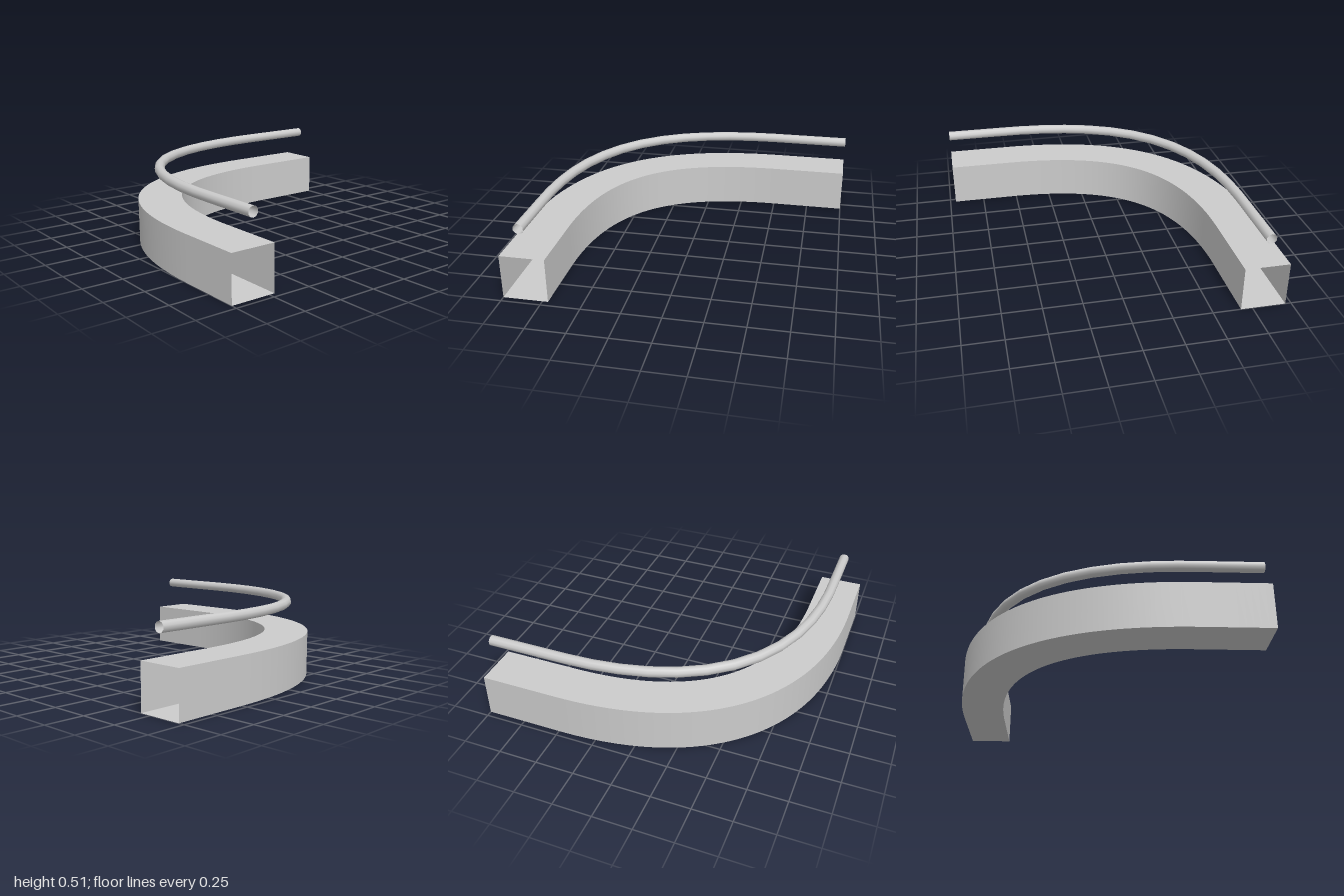
import * as THREE from 'three';
import { ParametricGeometry } from 'three/addons/geometries/ParametricGeometry.js';

const HALF_WIDTH = 0.143, HEIGHT = 0.288, RAIL_Y = 0.482, RAIL_RADIUS = 0.033;

// Centre line: straight, quadratic bend, straight
function centreLine(y) {
  const p = (x, z) => new THREE.Vector3(x, y, z);
  const a = p(-0.82, -1), b = p(-0.82, -0.495), corner = p(-0.82, 0.857);
  const c = p(0.53, 0.857), d = p(0.96, 0.857);
  const path = new THREE.CurvePath();
  path.add(new THREE.LineCurve3(a, b));
  path.add(new THREE.QuadraticBezierCurve3(b, corner, c));
  path.add(new THREE.LineCurve3(c, d));
  return path;
}

export function createModel() {
  const group = new THREE.Group();
  const material = new THREE.MeshStandardMaterial({ color: 0xcccccc, side: THREE.DoubleSide });

  // Hollow rectangular duct, one swept strip per side, open at both ends
  const base = new THREE.Group();
  base.name = 'curvedBase';
  const path = centreLine(0);
  const corners = [[-HALF_WIDTH, 0], [HALF_WIDTH, 0], [HALF_WIDTH, HEIGHT], [-HALF_WIDTH, HEIGHT]];
  ['bottom', 'outerWall', 'top', 'innerWall'].forEach((name, i) => {
    const [s0, y0] = corners[i], [s1, y1] = corners[(i + 1) % 4];
    const strip = new ParametricGeometry((u, v, target) => {
      const point = path.getPointAt(u), t = path.getTangentAt(u);
      const s = s0 + (s1 - s0) * v;
      target.set(point.x - t.z * s, y0 + (y1 - y0) * v, point.z + t.x * s);
    }, 72, 1);
    const mesh = new THREE.Mesh(strip, material);
    mesh.name = name;
    base.add(mesh);
  });
  group.add(base);

  // Round rail floating above the base
  const rail = new THREE.Mesh(new THREE.TubeGeometry(centreLine(RAIL_Y), 18, RAIL_RADIUS, 10, false), material);
  rail.name = 'rail';
  group.add(rail);

  return group;
}
